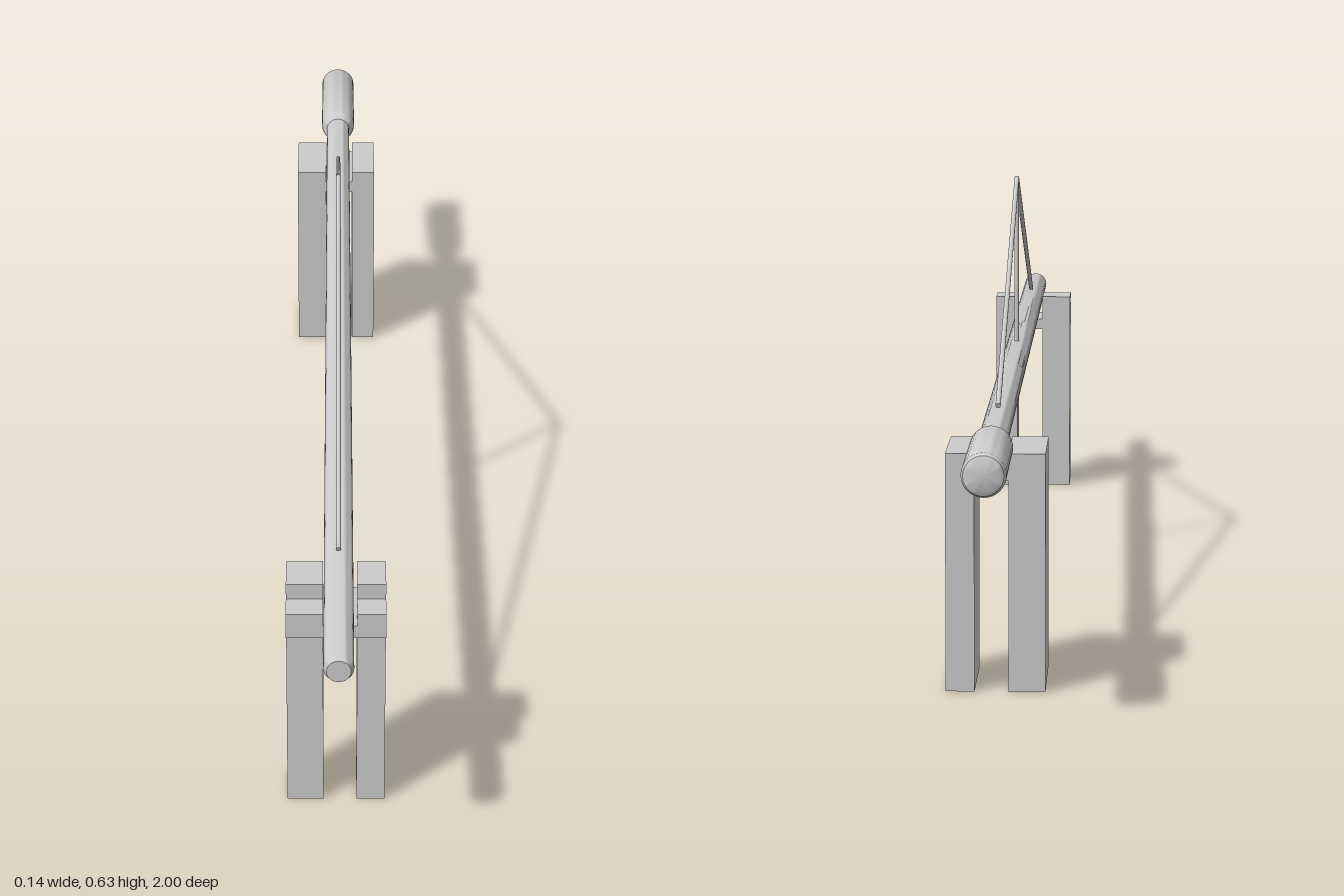
import * as THREE from 'three';
import { toCreasedNormals } from 'three/addons/utils/BufferGeometryUtils.js';

const grey = new THREE.MeshStandardMaterial({ color: 0xcccccc });
const AXIS_X = 0.003, AXIS_Y = 0.343;

export function createModel() {
  const model = new THREE.Group();
  model.name = 'supportedTube';

  const add = (parent, name, geometry) => {
    const mesh = new THREE.Mesh(geometry, grey);
    mesh.name = name;
    parent.add(mesh);
    return mesh;
  };

  // Box given by its limits on each axis
  const box = (parent, name, [x0, x1], [y0, y1], [z0, z1]) => {
    const mesh = add(parent, name, new THREE.BoxGeometry(x1 - x0, y1 - y0, z1 - z0));
    mesh.position.set((x0 + x1) / 2, (y0 + y1) / 2, (z0 + z1) / 2);
  };

  // Thin round rod in the plane of the tube axis, between two [y, z] points
  const rod = (parent, name, [y0, z0], [y1, z1]) => {
    const a = new THREE.Vector3(AXIS_X, y0, z0);
    const b = new THREE.Vector3(AXIS_X, y1, z1);
    const mesh = add(parent, name, new THREE.CylinderGeometry(0.0037, 0.0037, a.distanceTo(b), 10));
    mesh.position.copy(a).add(b).multiplyScalar(0.5);
    mesh.quaternion.setFromUnitVectors(new THREE.Vector3(0, 1, 0), b.sub(a).normalize());
  };

  // Long tube with a thicker sleeve at the back; profile is [radius, z]
  const profile = [
    [0, -1], [0.021, -1], [0.026, -0.997], [0.029, -0.99], [0.029, -0.79],
    [0.026, -0.778], [0.02, -0.772], [0.02, 0.992], [0.016, 1], [0, 1],
  ].map(([r, z]) => new THREE.Vector2(r, z));
  const tube = add(model, 'tube', toCreasedNormals(new THREE.LatheGeometry(profile, 32), 0.6));
  tube.rotation.x = Math.PI / 2;
  tube.position.set(AXIS_X, AXIS_Y, 0);

  // Triangular truss above the tube
  const truss = new THREE.Group();
  truss.name = 'truss';
  model.add(truss);
  rod(truss, 'mast', [AXIS_Y, 0.072], [0.627, 0.072]);
  rod(truss, 'frontStay', [0.366, 0.735], [0.625, 0.072]);
  rod(truss, 'rearStay', [0.366, -0.59], [0.625, 0.072]);

  // Supports: two posts joined by a crossbar, with a small rib under the tube
  const rightX = [-0.068, -0.018], leftX = [0.028, 0.067], gapX = [-0.018, 0.028];
  const support = (name, top, z) => {
    const group = new THREE.Group();
    group.name = name;
    model.add(group);
    box(group, 'rightPost', rightX, [0, top], z);
    box(group, 'leftPost', leftX, [0, top], z);
    box(group, 'crossbar', gapX, [0.29, 0.309], z);
    box(group, 'rib', [-0.001, 0.007], [0.309, 0.326], z);
    return group;
  };
  support('rearSupport', 0.327, [-0.75, -0.615]);
  const front = support('frontSupport', 0.35, [0.74, 0.8]);

  // Notched bracket on the face of the front support
  const bracketZ = [0.8, 0.838];
  box(front, 'bracketRight', rightX, [0.29, 0.327], bracketZ);
  box(front, 'bracketLeft', leftX, [0.29, 0.327], bracketZ);
  box(front, 'bracketBar', gapX, [0.29, 0.309], bracketZ);

  return model;
}
